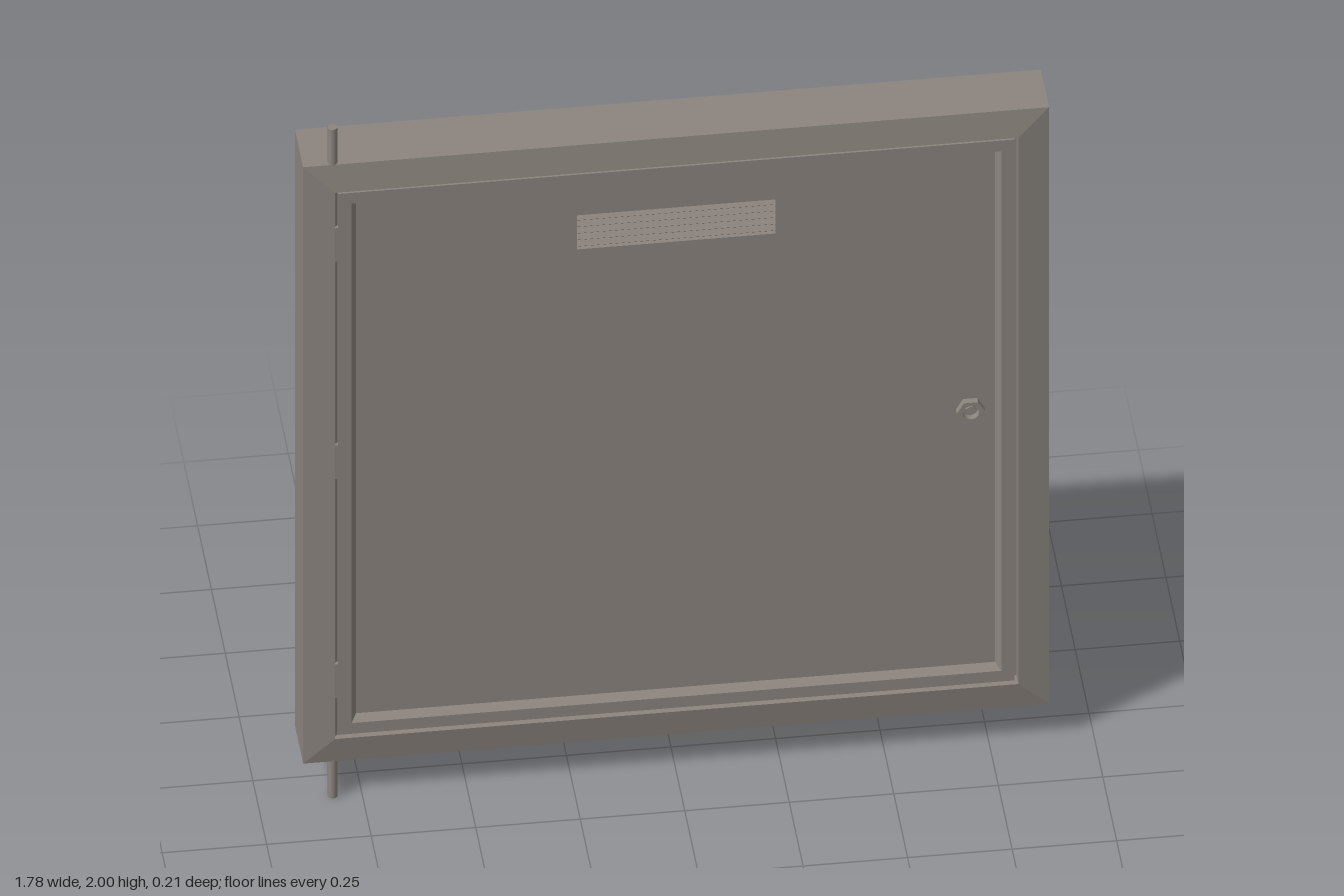
import * as THREE from 'three';

const HALF = 0.892; // half size of the square frame
const MID_Y = 1.003; // height of its centre

// Square ring: a closed profile of [inset, z] points carried round four mitred corners
function squareRing(profile) {
  const corners = [[-1, -1], [1, -1], [1, 1], [-1, 1]];
  const pos = [];
  const index = [];
  const n = profile.length;
  for (const [sx, sy] of corners) {
    for (const [inset, z] of profile) pos.push(sx * (HALF - inset), sy * (HALF - inset), z);
  }
  for (let k = 0; k < 4; k++) {
    for (let i = 0; i < n; i++) {
      const a = k * n + i;
      const b = ((k + 1) % 4) * n + i;
      const c = ((k + 1) % 4) * n + (i + 1) % n;
      const d = k * n + (i + 1) % n;
      index.push(a, b, c, a, c, d);
    }
  }
  const g = new THREE.BufferGeometry();
  g.setAttribute('position', new THREE.Float32BufferAttribute(pos, 3));
  g.setIndex(index);
  const flat = g.toNonIndexed();
  flat.computeVertexNormals();
  return flat;
}

function rectPath(path, x0, y0, x1, y1) {
  path.moveTo(x0, y0);
  path.lineTo(x1, y0);
  path.lineTo(x1, y1);
  path.lineTo(x0, y1);
  path.closePath();
  return path;
}

export function createModel() {
  const model = new THREE.Group();
  model.name = 'accessDoor';
  const metal = new THREE.MeshStandardMaterial({ color: 0x8c857e });
  metal.name = 'warmGreyMetal';

  const add = (name, geometry, x = 0, y = 0, z = 0, parent = model) => {
    const mesh = new THREE.Mesh(geometry, metal);
    mesh.name = name;
    mesh.position.set(x, y, z);
    parent.add(mesh);
    return mesh;
  };

  // Frame with a shallow front slope, a chamfered back and a rebate for the door
  add('frame', squareRing([
    [0, -0.055], [0, 0.093], [0.075, 0.105], [0.075, 0.07], [0.09, 0.07], [0.09, -0.105],
  ]), 0, MID_Y);

  // Raised door rim, bevelled down to the panel
  add('doorRim', squareRing([
    [0.083, 0.07], [0.083, 0.1], [0.115, 0.1], [0.128, 0.08], [0.128, 0.07],
  ]), 0, MID_Y);

  // Door panel with the vent opening
  const edge = HALF - 0.088;
  const vent = { x0: -0.235, x1: 0.24, y0: 1.573, y1: 1.675 };
  const panel = rectPath(new THREE.Shape(), -edge, MID_Y - edge, edge, MID_Y + edge);
  panel.holes.push(rectPath(new THREE.Path(), vent.x0, vent.y0, vent.x1, vent.y1));
  add('doorPanel', new THREE.ExtrudeGeometry(panel, { depth: 0.025, bevelEnabled: false }), 0, 0, 0.055);

  // Vent slats, sloping down towards the front
  const slats = new THREE.Group();
  slats.name = 'ventSlats';
  const slatGeometry = new THREE.BoxGeometry(vent.x1 - vent.x0, 0.003, 0.03);
  for (let i = 0; i < 5; i++) {
    const slat = add('ventSlat', slatGeometry, (vent.x0 + vent.x1) / 2, 1.591 + i * 0.0195, 0.0675, slats);
    slat.rotation.x = 0.75;
  }
  model.add(slats);

  // Hinge rod and the three hinge blocks bridging the gap
  add('hingeRod', new THREE.CylinderGeometry(0.012, 0.012, 2, 10), -0.82, 1, 0.082);
  for (const y of [0.355, 1.01, 1.66]) {
    add('hingeBlock', new THREE.BoxGeometry(0.016, 0.1, 0.03), -0.812, y, 0.085);
  }

  // Hexagonal lock: a collar with a round hole and a small core
  const lock = new THREE.Group();
  lock.name = 'lock';
  lock.position.set(0.705, 1.003, 0.079);
  const hex = new THREE.Shape();
  for (let i = 0; i < 6; i++) {
    const a = i * Math.PI / 3;
    hex[i ? 'lineTo' : 'moveTo'](0.034 * Math.cos(a), 0.034 * Math.sin(a));
  }
  hex.closePath();
  hex.holes.push(new THREE.Path().absarc(0, 0, 0.02, 0, Math.PI * 2, true));
  add('lockCollar', new THREE.ExtrudeGeometry(hex, { depth: 0.018, bevelEnabled: false, curveSegments: 8 }), 0, 0, 0, lock);
  const core = add('lockCore', new THREE.CylinderGeometry(0.013, 0.013, 0.012, 6), 0, 0, 0.006, lock);
  core.rotation.x = Math.PI / 2;
  model.add(lock);

  return model;
}
